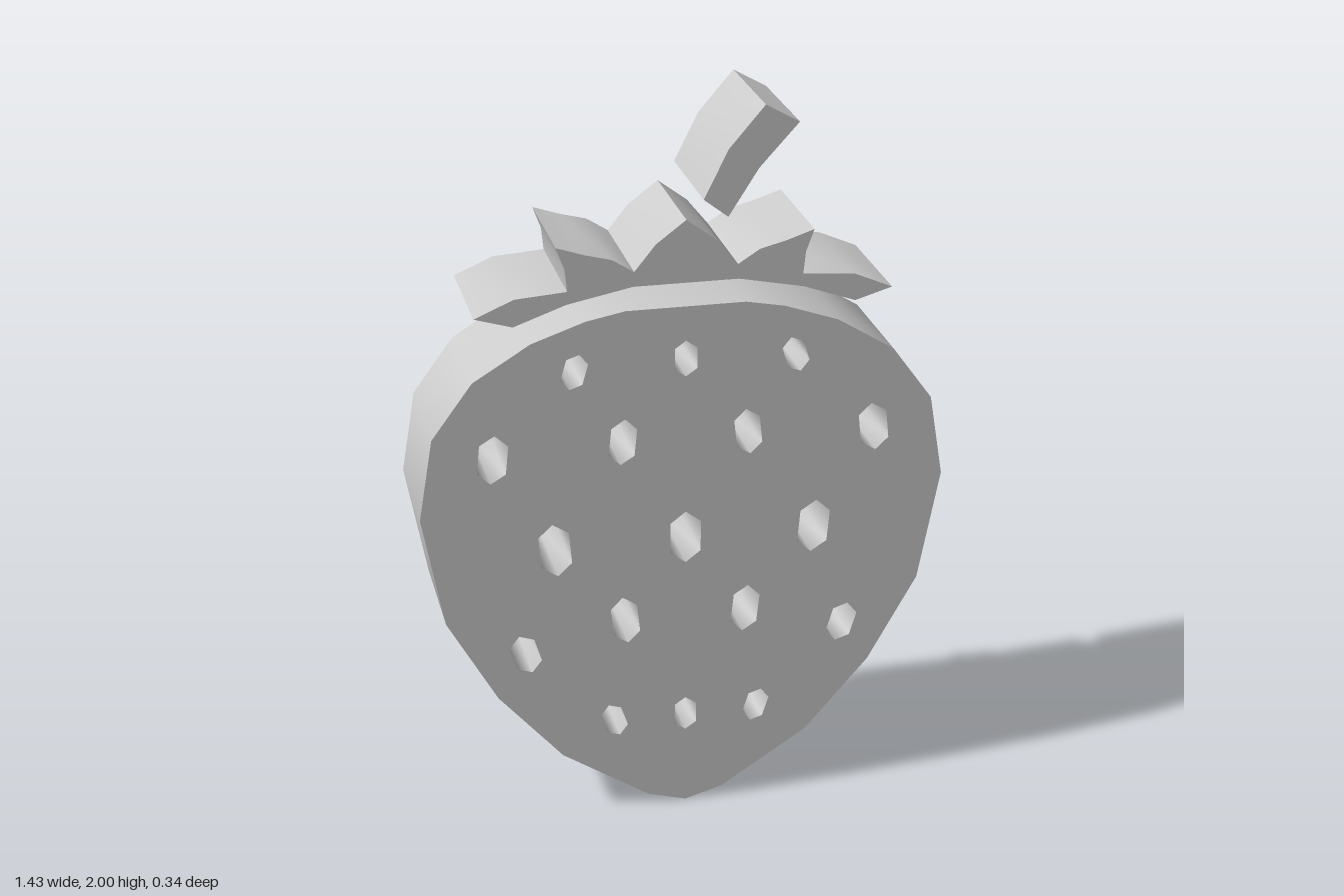
import * as THREE from 'three';
import { toCreasedNormals } from 'three/addons/utils/BufferGeometryUtils.js';

const DEPTH = 0.34;

// closed outline from a right half: mirrored points skip those on the axis
const mirrored = (half) => [
  ...half,
  ...half.filter(([x]) => x > 0).reverse().map(([x, y]) => [-x, y]),
];
const vectors = (points) => points.map(([x, y]) => new THREE.Vector2(x, y));

// flat slab of even thickness, smooth along gentle curves and sharp at corners
function slab(name, outline, crease, holes = []) {
  const shape = new THREE.Shape(vectors(outline));
  shape.holes = holes.map((h) => new THREE.Path(vectors(h)));
  const extruded = new THREE.ExtrudeGeometry(shape, { depth: DEPTH, bevelEnabled: false });
  extruded.translate(0, 0, -DEPTH / 2);
  const geometry = toCreasedNormals(extruded, THREE.MathUtils.degToRad(crease));
  const mesh = new THREE.Mesh(geometry, new THREE.MeshStandardMaterial({ color: 0xcccccc }));
  mesh.name = name;
  return mesh;
}

// elongated six-sided seed hole, tilted counter-clockwise in degrees
function seedHole(x, y, w, h, tilt) {
  const a = THREE.MathUtils.degToRad(tilt), c = Math.cos(a), s = Math.sin(a);
  return [[0, 0.5], [-0.5, 0.29], [-0.5, -0.29], [0, -0.5], [0.5, -0.29], [0.5, 0.29]]
    .map(([u, v]) => [x + u * w * c - v * h * s, y + u * w * s + v * h * c]);
}

export function createModel() {
  const model = new THREE.Group();
  model.name = 'strawberry';

  // fruit body pierced by seed holes: x, y, width, height, tilt
  const middleSeeds = [
    [0, 1.33, 0.06, 0.1, 0], [0, 0.815, 0.083, 0.15, 0], [0, 0.275, 0.06, 0.1, 0],
  ];
  const sideSeeds = [
    [0.297, 1.317, 0.06, 0.1, 16], [0.17, 1.108, 0.07, 0.13, 6], [0.517, 1.09, 0.077, 0.137, 6],
    [0.356, 0.812, 0.083, 0.153, -5], [0.167, 0.583, 0.073, 0.138, -6],
    [0.442, 0.51, 0.07, 0.117, -17], [0.2, 0.278, 0.06, 0.1, -18],
  ];
  const seeds = [
    ...middleSeeds, ...sideSeeds,
    ...sideSeeds.map(([x, y, w, h, t]) => [-x, y, w, h, -t]),
  ];
  const body = mirrored([
    [0, 0], [0.105, 0.03], [0.345, 0.185], [0.52, 0.385], [0.655, 0.625], [0.713, 0.935],
    [0.675, 1.16], [0.565, 1.31], [0.41, 1.405], [0.265, 1.455], [0.16, 1.475],
  ]);
  model.add(slab('fruitBody', body, 80, seeds.map((s) => seedHole(...s))));

  // leafy crown
  const crown = mirrored([
    [0, 1.71], [0.08, 1.65], [0.137, 1.58], [0.195, 1.617], [0.265, 1.635], [0.34, 1.66],
    [0.318, 1.6], [0.312, 1.54], [0.45, 1.53], [0.555, 1.485], [0.455, 1.455], [0.315, 1.505],
    [0.14, 1.54],
  ]);
  model.add(slab('leafCrown', crown, 45));

  // bent stalk
  model.add(slab('stalk', [
    [0.045, 1.76], [0.11, 1.89], [0.205, 2], [0.295, 1.95], [0.19, 1.835], [0.11, 1.71],
  ], 45));

  return model;
}
